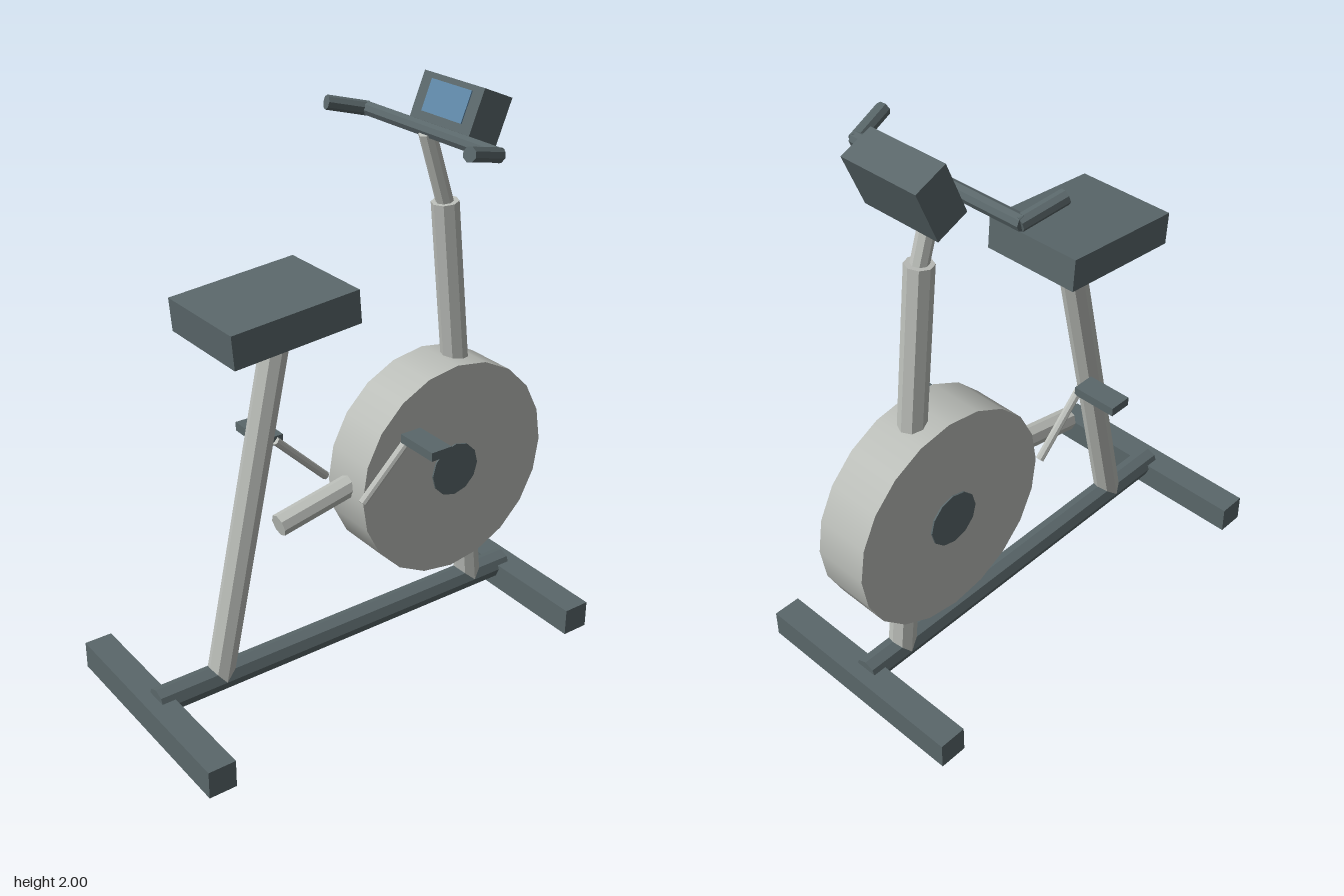
import * as THREE from 'three';

export function createModel() {
  const model = new THREE.Group();
  model.name = 'exerciseBike';

  const mat = (name, color, flat) => {
    const m = new THREE.MeshStandardMaterial({ color, flatShading: flat });
    m.name = name;
    return m;
  };
  const dark = mat('darkGrey', 0x5a676a, true);
  const light = mat('lightGrey', 0xbbbeb9, false);
  const blue = mat('screenBlue', 0x5f88a8, true);

  const add = (name, geo, material, x = 0, y = 0, z = 0, parent = model) => {
    const m = new THREE.Mesh(geo, material);
    m.name = name;
    m.position.set(x, y, z);
    parent.add(m);
    return m;
  };
  const box = (name, w, h, d, material, x, y, z, parent) =>
    add(name, new THREE.BoxGeometry(w, h, d), material, x, y, z, parent);

  // Faceted octagonal tube between two points
  const tube = (name, a, b, r, material) => {
    const p = new THREE.Vector3(...a), q = new THREE.Vector3(...b);
    const dir = q.clone().sub(p);
    const geo = new THREE.CylinderGeometry(r, r, dir.length(), 8).toNonIndexed();
    geo.computeVertexNormals();
    const mid = p.add(q).multiplyScalar(0.5);
    const m = add(name, geo, material, mid.x, mid.y, mid.z);
    m.quaternion.setFromUnitVectors(new THREE.Vector3(0, 1, 0), dir.normalize());
    return m;
  };

  // Base
  box('frontFoot', 0.84, 0.1, 0.1, dark, 0, 0.05, 0.765);
  box('rearFoot', 0.84, 0.1, 0.1, dark, 0, 0.05, -0.745);
  tube('baseBar', [0, 0.085, 0.765], [0, 0.085, -0.745], 0.048, dark);

  // Seat
  tube('seatPost', [0, 0.085, 0.518], [0, 1.265, 0.267], 0.048, light);
  const seat = box('seat', 0.37, 0.115, 0.467, dark, 0, 1.382, 0.3);
  seat.rotation.x = 0.085;

  // Flywheel with hub discs on both sides
  const wheel = add('flywheel', new THREE.CylinderGeometry(0.4, 0.4, 0.2, 20), light, 0, 0.64, -0.408);
  wheel.rotation.z = Math.PI / 2;
  const hub = add('hub', new THREE.CylinderGeometry(0.1, 0.1, 0.212, 12), dark, 0, 0.64, -0.408);
  hub.rotation.z = Math.PI / 2;
  tube('wheelSupport', [0, 0.594, 0.268], [0, 0.66, -0.05], 0.04, light);

  // Cranks and pedals
  for (const s of [1, -1]) {
    const side = s > 0 ? 'left' : 'right';
    tube(side + 'Crank', [s * 0.115, 0.645, s * 0.005], [s * 0.115, 0.845, -s * 0.2], 0.015, light);
    box(side + 'Pedal', 0.168, 0.032, 0.083, dark, s * 0.2, 0.845, s > 0 ? -0.195 : 0.21);
  }

  // Front column and handlebar
  tube('frontPost', [0, 0.085, -0.576], [0, 1.6, -0.41], 0.048, light);
  tube('handlebarStem', [0, 1.57, -0.418], [0, 1.845, -0.327], 0.03, light);
  tube('handlebar', [-0.342, 1.85, -0.333], [0.342, 1.85, -0.333], 0.025, dark);
  for (const s of [1, -1]) {
    tube(s > 0 ? 'leftGrip' : 'rightGrip', [s * 0.332, 1.848, -0.34], [s * 0.368, 1.884, -0.192], 0.025, dark);
  }

  // Tilted console with screen
  const console_ = new THREE.Group();
  console_.name = 'console';
  console_.position.set(0, 1.885, -0.452);
  console_.rotation.x = -0.39;
  model.add(console_);
  box('consoleBody', 0.3, 0.2, 0.125, dark, 0, 0, 0, console_);
  box('screen', 0.2, 0.108, 0.006, blue, 0, 0.027, 0.0635, console_);

  return model;
}
